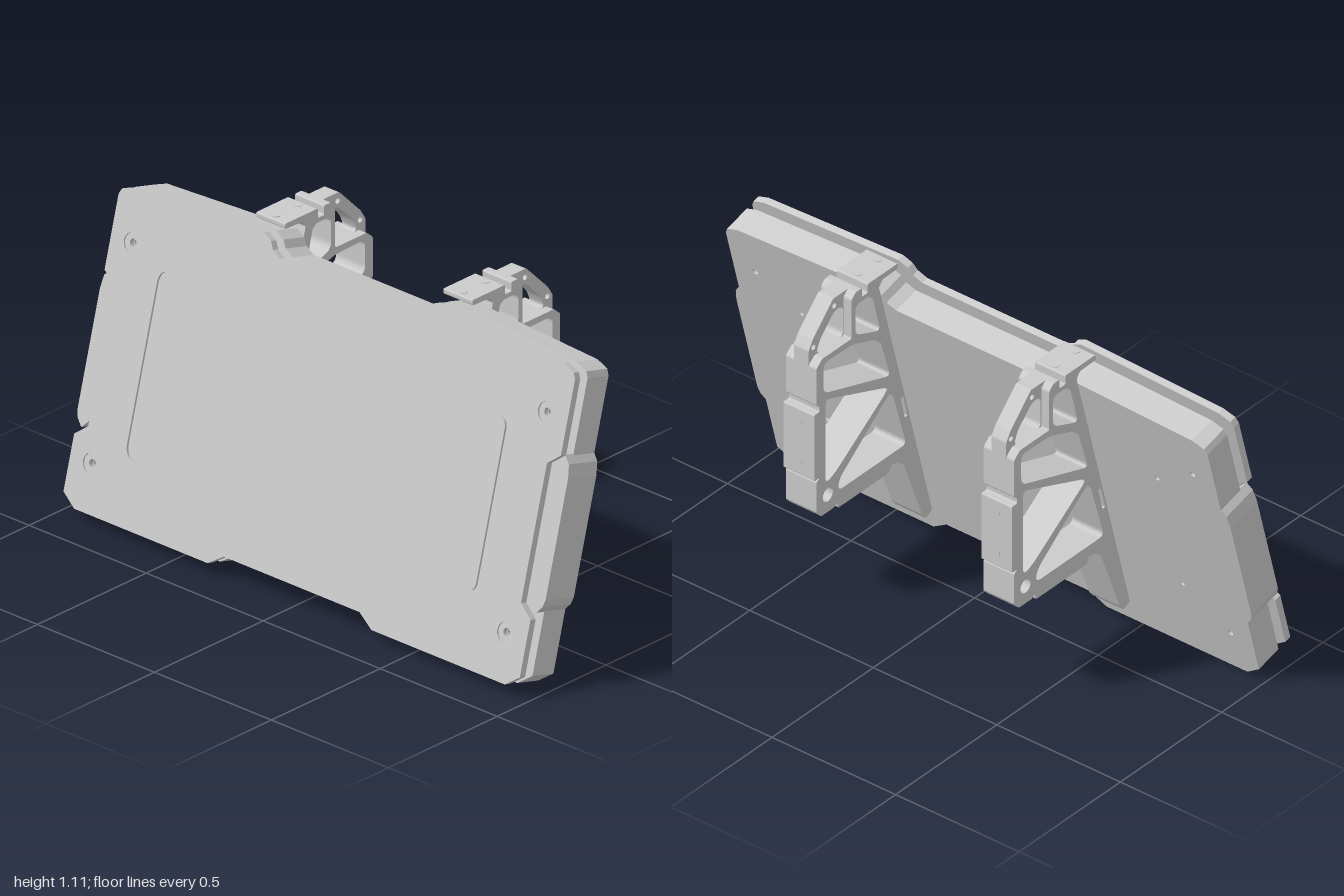
import * as THREE from 'three';

const grey = new THREE.MeshStandardMaterial({ color: 0xcccccc });

function add(parent, geometry, name, x = 0, y = 0, z = 0) {
  const mesh = new THREE.Mesh(geometry, grey);
  mesh.name = name;
  mesh.position.set(x, y, z);
  parent.add(mesh);
  return mesh;
}

// Closed outline with each corner softened by up to radius r
function rounded(points, r, Type = THREE.Shape) {
  const path = new Type();
  const pts = points.map(([x, y]) => new THREE.Vector2(x, y));
  pts.forEach((p, i) => {
    const prev = pts[(i + pts.length - 1) % pts.length];
    const next = pts[(i + 1) % pts.length];
    const a = p.clone().lerp(prev, Math.min(0.45, r / p.distanceTo(prev)));
    const b = p.clone().lerp(next, Math.min(0.45, r / p.distanceTo(next)));
    if (i === 0) path.moveTo(a.x, a.y);
    else path.lineTo(a.x, a.y);
    path.quadraticCurveTo(p.x, p.y, b.x, b.y);
  });
  path.closePath();
  return path;
}

const rect = (w, y0, y1) => [[-w, y0], [w, y0], [w, y1], [-w, y1]];
const circle = (x, y, r) => new THREE.Path().absarc(x, y, r, 0, Math.PI * 2, true);
const extrude = (shape, depth) =>
  new THREE.ExtrudeGeometry(shape, { depth, bevelEnabled: false, curveSegments: 8 });

// Mirrors a half outline (bottom centre to top centre) into a full shape
function mirrored(half) {
  const left = half.map(([x, y]) => [-x, y]).reverse();
  return new THREE.Shape([...half, ...left].map(([x, y]) => new THREE.Vector2(x, y)));
}

const lower = [[0.29, 0.04], [0.35, 0], [0.92, 0], [0.975, 0.04]];
const upper = [[0.975, 1.02], [0.965, 1.04], [0.92, 1.057], [0.37, 1.083], [0.335, 1.065], [0.32, 1.04], [0.285, 1.022]];
const corners = [[-0.885, 0.16], [0.885, 0.16], [-0.885, 0.885], [0.885, 0.885]];

function makePanel() {
  const panel = new THREE.Group();
  panel.name = 'tiltedPanel';

  // Thick rear body with screw holes
  const body = mirrored([...lower, ...upper]);
  corners.forEach(([x, y]) => body.holes.push(circle(x, y, 0.011)));
  [-0.72, 0.72].forEach((x) => body.holes.push(circle(x, 0.3, 0.009), circle(x, 0.78, 0.009)));
  add(panel, extrude(body, 0.1), 'panelBody');

  // Front plate with side notches, screw seats and a framed centre
  const side = [[0.975, 0.23], [0.925, 0.27], [0.925, 0.73], [0.975, 0.77]];
  const plate = mirrored([...lower, ...side, ...upper]);
  corners.forEach(([x, y]) => plate.holes.push(circle(x, y, 0.035)));
  plate.holes.push(rounded(rect(0.757, 0.217, 0.843), 0.05, THREE.Path));
  add(panel, extrude(plate, 0.025), 'frontPlate', 0, 0, 0.135);
  add(panel, extrude(rounded(rect(0.757, 0.217, 0.843), 0.05), 0.017), 'grooveFloor', 0, 0, 0.135);
  add(panel, extrude(rounded(rect(0.732, 0.242, 0.815), 0.035), 0.008), 'centrePanel', 0, 0, 0.152);

  // Spacers and recessed washers at the four corners
  corners.forEach(([x, y]) => {
    const spacer = new THREE.Shape().absarc(0, 0, 0.03, 0, Math.PI * 2);
    spacer.holes.push(circle(0, 0, 0.011));
    add(panel, extrude(spacer, 0.037), 'spacer', x, y, 0.1);
    const washer = new THREE.Shape().absarc(0, 0, 0.035, 0, Math.PI * 2);
    washer.holes.push(circle(0, 0, 0.014));
    add(panel, extrude(washer, 0.019), 'screwWasher', x, y, 0.135);
  });

  // Side grips set into the notches
  [-1, 1].forEach((s) => {
    const grip = [[0.935, 0.29], [0.972, 0.25], [0.993, 0.275], [1, 0.3],
      [1, 0.7], [0.993, 0.745], [0.972, 0.77], [0.935, 0.73]];
    const shape = new THREE.Shape(grip.map(([x, y]) => new THREE.Vector2(s * x, y)));
    add(panel, extrude(shape, 0.135), s > 0 ? 'leftGrip' : 'rightGrip');
  });

  panel.position.set(0, 0.005, 0.225);
  panel.rotation.x = -THREE.MathUtils.degToRad(15);
  return panel;
}

// Bracket profile, as [distance behind centre, height]
const foot = [[0.06, 1.068], [-0.203, 0.085], [-0.172, 0.07], [-0.155, 0.09], [-0.06, 0.335],
  [-0.035, 0.355], [0, 0.362], [0.008, 0.338], [0.262, 0.338], [0.265, 0.362], [0.28, 0.35],
  [0.345, 0.35], [0.368, 0.374], [0.368, 0.49], [0.352, 0.5], [0.379, 0.5], [0.379, 0.75],
  [0.353, 0.75], [0.353, 0.772], [0.368, 0.78]];
const head = [[0.144, 1.109], [0.144, 1.076], [0.115, 1.076], [0.115, 1.109],
  [-0.035, 1.109], [-0.035, 1.09], [0.041, 1.088]];
const finCorner = [[0.368, 0.974], [0.347, 1.008], [0.247, 1.109]];
const cutCorner = [[0.368, 0.92], [0.34, 0.944], [0.195, 0.944], [0.195, 1.09], [0.175, 1.109]];

// Lightening windows shared by all layers
const windows = [
  [[0.095, 1.06], [0.176, 1.06], [0.176, 0.948], [0.053, 0.9]],
  [[0.056, 0.87], [0.19, 0.92], [0.333, 0.923], [0.333, 0.81], [0.004, 0.703]],
  [[0.015, 0.665], [0.324, 0.782], [0.324, 0.462], [0.275, 0.48], [0.03, 0.647]],
  [[-0.004, 0.638], [0.025, 0.625], [0.255, 0.445], [0.262, 0.403], [-0.075, 0.403]],
];
const slot = [[-0.06, 0.59], [-0.047, 0.59], [-0.068, 0.507], [-0.081, 0.507]];
const finWindow = [[0.198, 1.06], [0.24, 1.06], [0.312, 0.99], [0.331, 0.944], [0.198, 0.944]];

function bracketLayer(isFin, width) {
  const shape = rounded([...foot, ...(isFin ? finCorner : cutCorner), ...head], 0.006);
  windows.forEach((w) => shape.holes.push(rounded(w, 0.025, THREE.Path)));
  shape.holes.push(rounded(slot, 0.002, THREE.Path), circle(0.312, 0.415, 0.025));
  if (isFin) {
    shape.holes.push(rounded(finWindow, 0.02, THREE.Path));
    shape.holes.push(circle(0.241, 1.08, 0.01), circle(0.344, 0.977, 0.01));
  }
  return extrude(shape, width).rotateY(Math.PI / 2);
}

function makeBracket(name, x) {
  const bracket = new THREE.Group();
  bracket.name = name;
  // Two outer webs and a central layer that carries the rear fin
  add(bracket, bracketLayer(false, 0.032), 'outerWeb', -0.062);
  add(bracket, bracketLayer(true, 0.06), 'finWeb', -0.03);
  add(bracket, bracketLayer(false, 0.032), 'outerWeb', 0.03);
  // Screws on the top, rear and underside pads
  const screw = new THREE.CylinderGeometry(0.014, 0.014, 0.006, 16);
  [[0.01, 0.018], [-0.09, 0.01]].forEach(([z]) => add(bracket, screw, 'topScrew', 0, 1.108, z));
  [0.55, 0.7].forEach((y) => { add(bracket, screw, 'rearScrew', 0, y, -0.378).rotation.x = Math.PI / 2; });
  [-0.06, -0.21].forEach((z) => add(bracket, screw, 'undersideScrew', 0, 0.339, z));
  bracket.position.x = x;
  return bracket;
}

export function createModel() {
  const model = new THREE.Group();
  model.name = 'bracketedPanel';
  model.add(makePanel(), makeBracket('leftBracket', 0.4), makeBracket('rightBracket', -0.4));
  return model;
}
